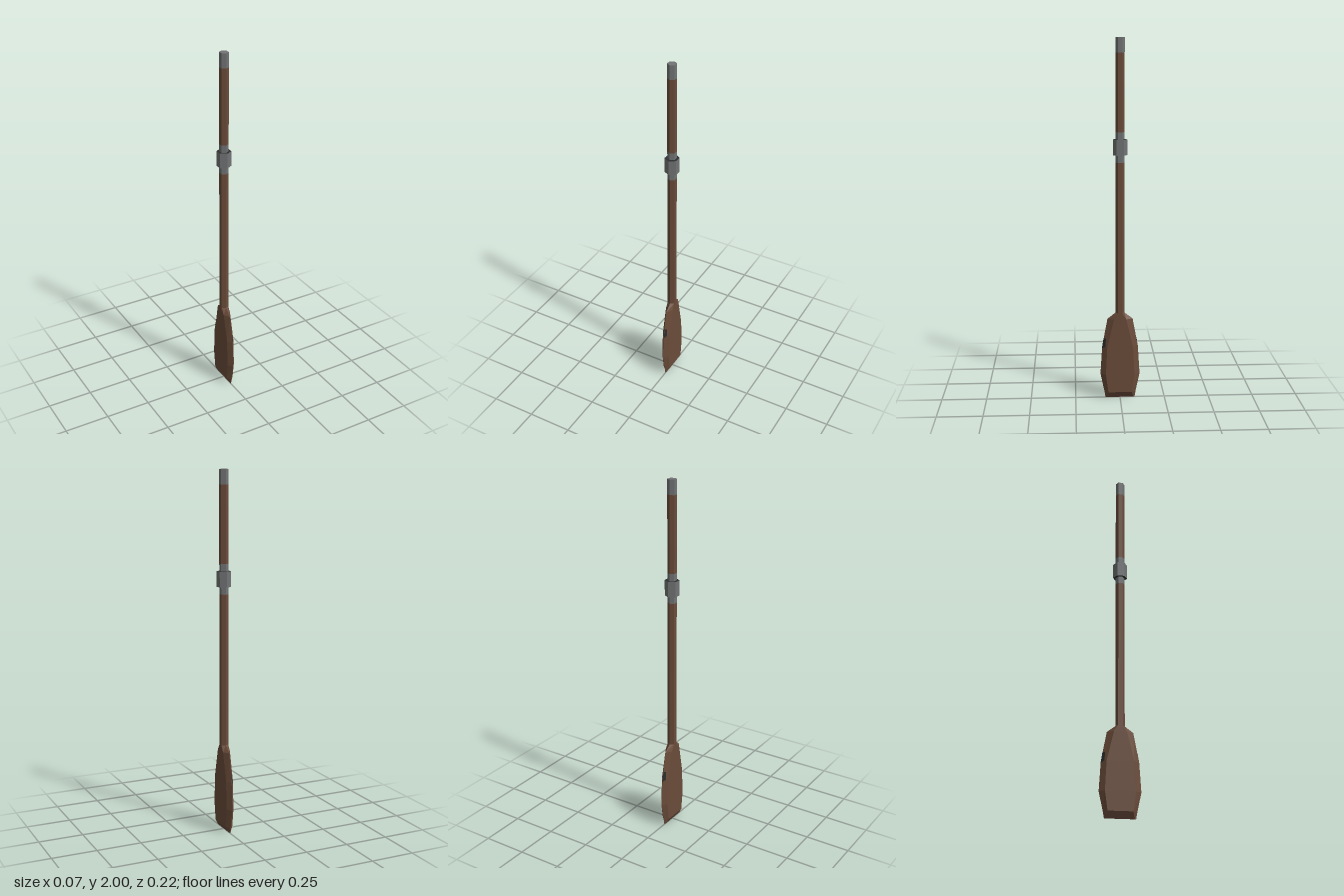
import * as THREE from 'three';

const mat = (name, color, side = THREE.FrontSide) => {
  const m = new THREE.MeshStandardMaterial({ color, flatShading: true, side });
  m.name = name;
  return m;
};

export function createModel() {
  const wood = mat('brown wood', 0x6b4c3a);
  const metal = mat('grey metal', 0x727374);
  const dark = mat('dark metal', 0x2b2d2e, THREE.DoubleSide);
  const group = new THREE.Group();
  group.name = 'oar';

  const add = (name, geometry, material) => {
    const mesh = new THREE.Mesh(geometry, material);
    mesh.name = name;
    group.add(mesh);
  };
  // six-sided rod between two heights, with corners on the z axis
  const rod = (name, r, y0, y1, material) => {
    const g = new THREE.CylinderGeometry(r, r, y1 - y0, 6);
    g.translate(0, (y0 + y1) / 2, 0);
    add(name, g, material);
  };

  // shaft and metal fittings
  rod('lowerShaft', 0.025, 0.48, 1.335, wood);
  rod('sleeve', 0.025, 1.335, 1.5, metal);
  rod('upperShaft', 0.025, 1.5, 1.92, wood);
  rod('endCap', 0.025, 1.92, 2, metal);
  rod('collar', 0.039, 1.375, 1.46, [metal, dark, dark]);

  // blade: hexagonal sections [y, half thickness, flat half width, full half width]
  const sections = [
    [0, 0.001, 0.074, 0.082],
    [0.035, 0.021, 0.066, 0.088],
    [0.14, 0.021, 0.08, 0.11],
    [0.3, 0.021, 0.072, 0.1],
    [0.46, 0.021, 0.034, 0.07],
    [0.495, 0.021, 0.0125, 0.025],
  ];
  const positions = [];
  const index = [];
  sections.forEach(([y, x, flat, full], s) => {
    positions.push(0, y, full, x, y, flat, x, y, -flat, 0, y, -full, -x, y, -flat, -x, y, flat);
    if (s === 0) return;
    for (let i = 0; i < 6; i++) {
      const a = (s - 1) * 6 + i, b = (s - 1) * 6 + (i + 1) % 6;
      index.push(a, b, b + 6, a, b + 6, a + 6);
    }
  });
  const top = (sections.length - 1) * 6;
  for (let i = 1; i < 5; i++) {
    index.push(0, i + 1, i, top, top + i, top + i + 1);
  }
  const blade = new THREE.BufferGeometry();
  blade.setAttribute('position', new THREE.Float32BufferAttribute(positions, 3));
  blade.setIndex(index);
  blade.computeVertexNormals();
  add('blade', blade, wood);

  // small dark nick on one bevel of each face
  for (const s of [1, -1]) {
    const nick = new THREE.BufferGeometry();
    nick.setAttribute('position', new THREE.Float32BufferAttribute([
      0.002, 0.29, 0.101, 0.014, 0.3, 0.083, 0.011, 0.345, 0.079, 0.002, 0.35, 0.092,
    ].map((v, i) => (i % 3 === 1 ? v : v * s)), 3));
    nick.setIndex([0, 1, 2, 0, 2, 3]);
    nick.computeVertexNormals();
    add(s > 0 ? 'leftBladeNick' : 'rightBladeNick', nick, dark);
  }
  return group;
}
